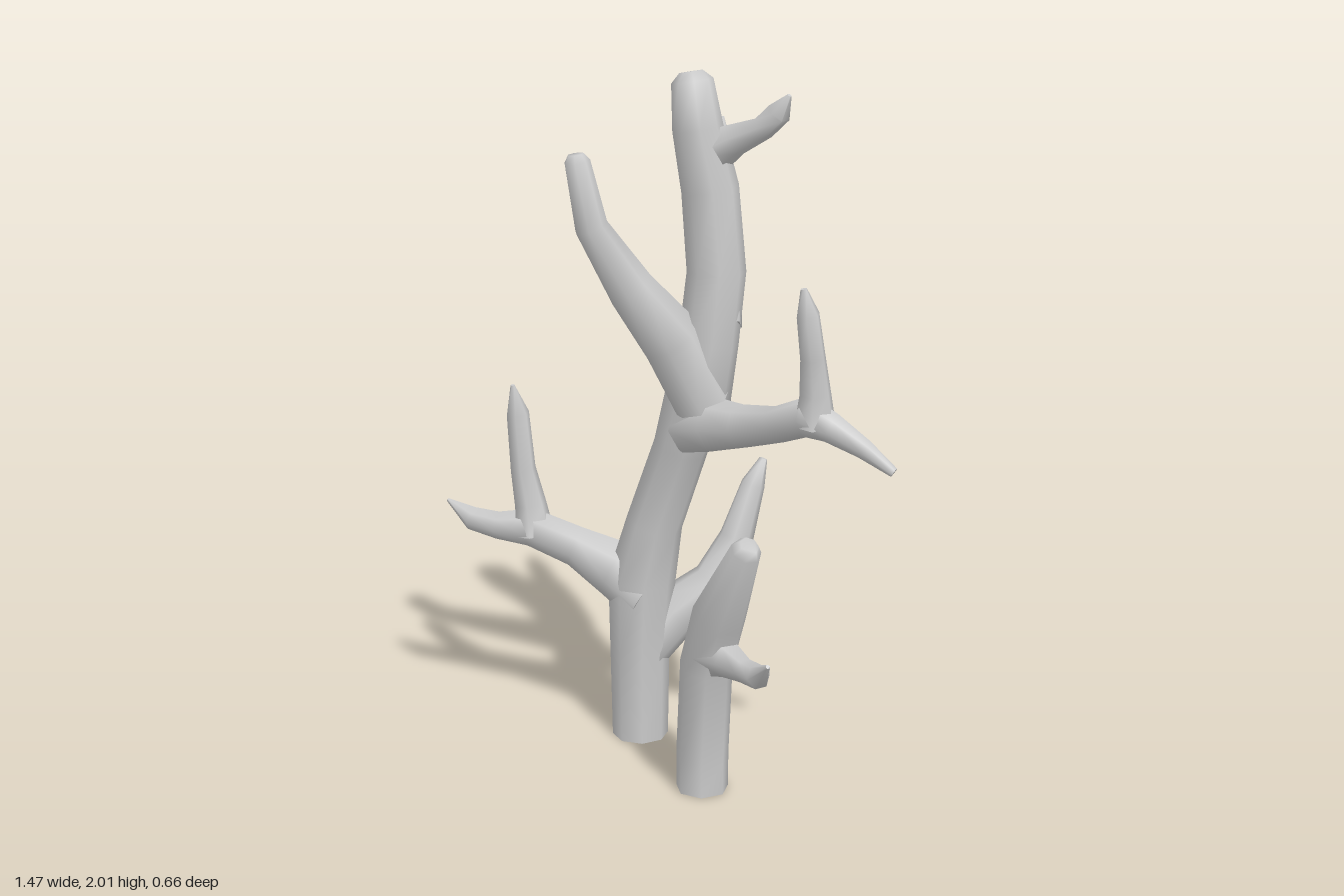
import * as THREE from 'three';
import { toCreasedNormals } from 'three/addons/utils/BufferGeometryUtils.js';

const material = new THREE.MeshStandardMaterial({ color: 0xcccccc });

// Tapered limb through points [x, y, z, radius], closed at both ends
function limb(name, points, sides = 7) {
  const centres = points.map(p => new THREE.Vector3(p[0], p[1], p[2]));
  const last = points.length - 1;
  const positions = [], index = [];
  const side = new THREE.Vector3(1, 0, 0);
  const start = centres[1].clone().sub(centres[0]).normalize();
  if (Math.abs(start.x) > 0.8) side.set(0, 0, 1);

  centres.forEach((c, i) => {
    // Ring plane halves the bend between neighbouring segments
    const dir = new THREE.Vector3();
    if (i > 0) dir.add(c.clone().sub(centres[i - 1]).normalize());
    if (i < last) dir.add(centres[i + 1].clone().sub(c).normalize());
    dir.normalize();
    side.addScaledVector(dir, -side.dot(dir)).normalize();
    const up = new THREE.Vector3().crossVectors(dir, side);
    for (let k = 0; k < sides; k++) {
      const a = (k / sides) * Math.PI * 2;
      const v = c.clone()
        .addScaledVector(side, Math.cos(a) * points[i][3])
        .addScaledVector(up, Math.sin(a) * points[i][3]);
      positions.push(v.x, v.y, v.z);
    }
  });
  for (let i = 0; i < last; i++) {
    for (let k = 0; k < sides; k++) {
      const a = i * sides + k, b = i * sides + (k + 1) % sides;
      index.push(a, b, b + sides, a, b + sides, a + sides);
    }
  }
  // End caps
  const top = last * sides;
  for (let k = 1; k < sides - 1; k++) {
    index.push(0, k + 1, k, top, top + k, top + k + 1);
  }

  const geometry = new THREE.BufferGeometry();
  geometry.setAttribute('position', new THREE.Float32BufferAttribute(positions, 3));
  geometry.setIndex(index);
  const mesh = new THREE.Mesh(toCreasedNormals(geometry, 1.15), material);
  mesh.name = name;
  return mesh;
}

export function createModel() {
  const model = new THREE.Group();
  model.name = 'branchingCoral';

  // Main stem with all its branches
  const mainStem = new THREE.Group();
  mainStem.name = 'mainStem';
  mainStem.add(
    limb('trunk', [
      [-0.15, 0, 0, 0.083], [-0.15, 0.28, 0, 0.088], [-0.145, 0.5, -0.005, 0.1],
      [-0.1, 0.68, -0.01, 0.083], [-0.01, 0.93, -0.025, 0.08], [0.05, 1.08, -0.025, 0.095],
      [0.085, 1.25, -0.03, 0.085], [0.1, 1.45, -0.045, 0.083], [0.08, 1.68, -0.04, 0.08],
      [0.06, 1.85, -0.01, 0.07], [0.045, 1.975, -0.005, 0.058], [0.04, 2, -0.005, 0.032],
    ], 8),
    limb('lowerRightBranch', [
      [-0.12, 0.46, -0.01, 0.1], [-0.22, 0.52, 0.025, 0.088], [-0.33, 0.575, 0.075, 0.062],
      [-0.46, 0.62, 0.13, 0.058], [-0.56, 0.613, 0.17, 0.042],
      [-0.64, 0.625, 0.2, 0.036], [-0.73, 0.667, 0.215, 0.005],
    ]),
    limb('lowerRightShoot', [
      [-0.45, 0.6, 0.13, 0.06], [-0.465, 0.69, 0.13, 0.048], [-0.483, 0.8, 0.14, 0.038],
      [-0.49, 0.97, 0.15, 0.034], [-0.492, 1.06, 0.168, 0.006],
    ], 6),
    limb('lowerBackBranch', [
      [-0.14, 0.28, -0.01, 0.08], [-0.09, 0.38, -0.09, 0.082], [-0.01, 0.47, -0.175, 0.068],
      [0.025, 0.6, -0.235, 0.052], [0.05, 0.76, -0.28, 0.036], [0.065, 0.835, -0.31, 0.012],
    ]),
    limb('leftBranch', [
      [0.03, 1, -0.02, 0.09], [0.13, 1.02, -0.01, 0.078], [0.24, 1.04, 0.005, 0.062],
      [0.37, 1.075, 0.025, 0.052], [0.5, 1.13, 0.05, 0.058], [0.57, 1.11, 0.04, 0.042],
      [0.65, 1.06, 0.005, 0.028], [0.73, 1.005, -0.02, 0.014],
    ]),
    limb('leftShoot', [
      [0.515, 1.11, 0.045, 0.06], [0.518, 1.2, 0.05, 0.045], [0.522, 1.3, 0.068, 0.036],
      [0.52, 1.42, 0.09, 0.032], [0.512, 1.49, 0.1, 0.009],
    ], 6),
    limb('upperFrontBranch', [
      [0.07, 1.08, -0.02, 0.09], [0.03, 1.27, 0.07, 0.09], [-0.03, 1.42, 0.17, 0.068],
      [-0.08, 1.6, 0.27, 0.047], [-0.098, 1.78, 0.302, 0.036], [-0.1, 1.8, 0.304, 0.022],
    ]),
    limb('upperBackBranch', [
      [0.1, 1.3, -0.05, 0.075], [0.05, 1.49, -0.13, 0.062], [-0.005, 1.62, -0.185, 0.043],
      [-0.035, 1.76, -0.225, 0.034], [-0.05, 1.84, -0.25, 0.006],
    ], 6),
    limb('topTwig', [
      [0.07, 1.77, -0.035, 0.07], [0.15, 1.82, -0.055, 0.048], [0.24, 1.86, -0.07, 0.034],
      [0.29, 1.905, -0.072, 0.034], [0.325, 1.955, -0.072, 0.006],
    ], 6),
  );

  // Separate short stem with a twig
  const smallStem = new THREE.Group();
  smallStem.name = 'smallStem';
  smallStem.add(
    limb('stump', [
      [0.225, 0, 0.16, 0.076], [0.225, 0.1, 0.16, 0.076], [0.243, 0.38, 0.165, 0.076],
      [0.305, 0.55, 0.185, 0.077], [0.435, 0.785, 0.232, 0.043], [0.45, 0.805, 0.237, 0.027],
    ]),
    limb('stumpTwig', [
      [0.27, 0.43, 0.175, 0.07], [0.35, 0.435, 0.195, 0.05], [0.42, 0.43, 0.215, 0.034],
      [0.49, 0.44, 0.243, 0.034], [0.552, 0.5, 0.282, 0.006],
    ], 6),
  );

  model.add(mainStem, smallStem);
  return model;
}
